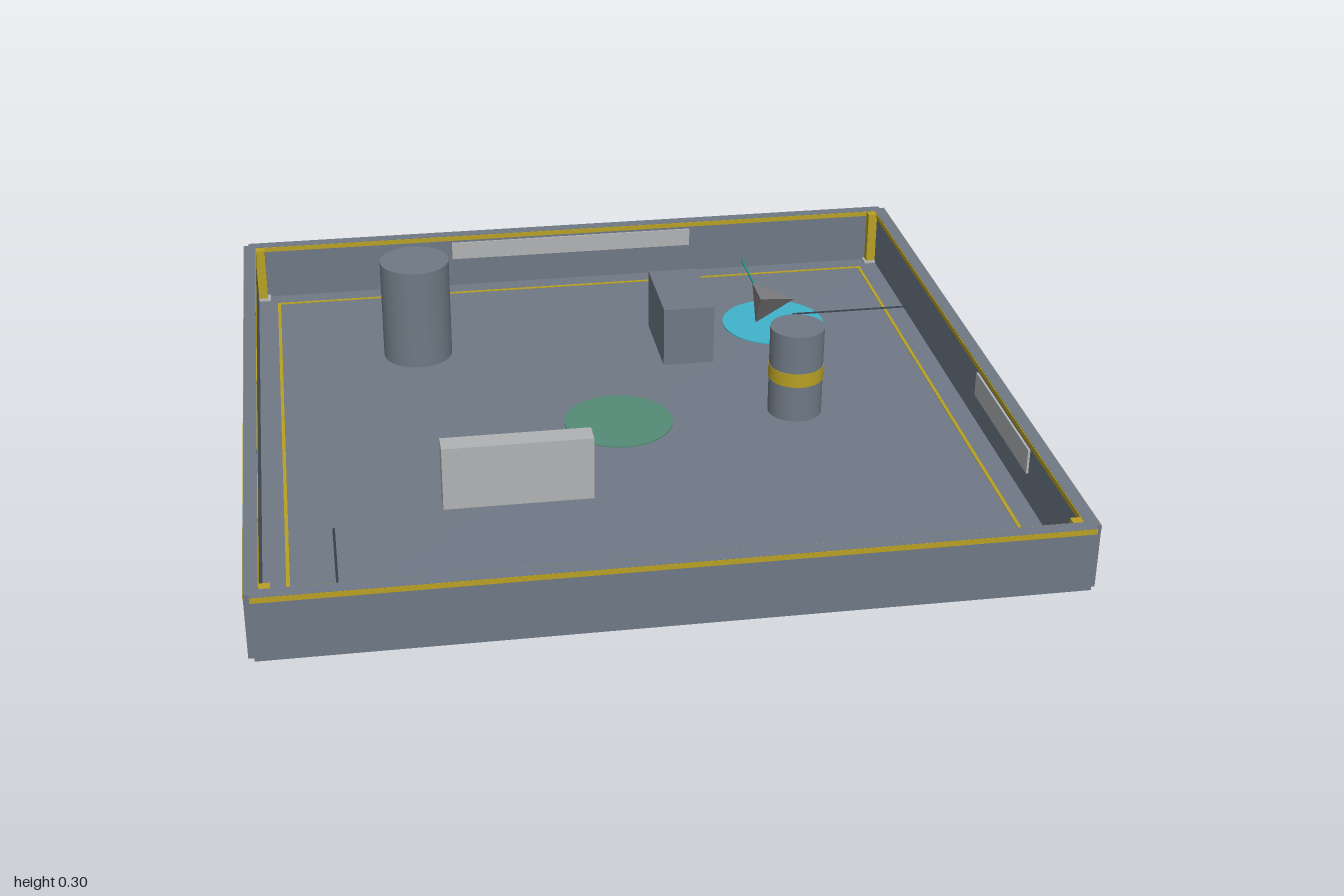
import * as THREE from 'three';

export function createModel() {
  const root = new THREE.Group();
  root.name = 'arena';

  const mat = (name, color) => {
    const m = new THREE.MeshStandardMaterial({ color });
    m.name = name;
    return m;
  };
  const grey = mat('slate grey', 0x6f7985);
  const yellow = mat('safety yellow', 0xb8a024);
  const light = mat('pale grey', 0xb0b2b4);
  const cyan = mat('cyan', 0x3fb3cb);
  const green = mat('soft green', 0x558c76);
  const teal = mat('teal', 0x109a88);
  const dark = mat('dark slate', 0x3c4650);
  const olive = mat('olive', 0x77702c);
  const stone = mat('warm grey', 0x7d7c7e);

  const add = (name, geo, m, x, y, z, parent = root) => {
    const mesh = new THREE.Mesh(geo, m);
    mesh.name = name;
    mesh.position.set(x, y, z);
    parent.add(mesh);
    return mesh;
  };
  // Box given by its minimum and maximum on each axis
  const box = (name, m, x0, x1, y0, y1, z0, z1, parent) =>
    add(name, new THREE.BoxGeometry(x1 - x0, y1 - y0, z1 - z0), m,
      (x0 + x1) / 2, (y0 + y1) / 2, (z0 + z1) / 2, parent);
  // Upright cylinder standing between two heights
  const cyl = (name, m, r, x, z, y0, y1) =>
    add(name, new THREE.CylinderGeometry(r, r, y1 - y0, 40), m, x, (y0 + y1) / 2, z);

  const F = 0.006; // floor surface
  box('floor', grey, -0.985, 0.985, 0, F, -0.985, 0.985);

  // Four walls with a painted stripe near the rim, and a post in each corner
  for (let i = 0; i < 4; i++) {
    const side = new THREE.Group();
    side.name = 'wallSide';
    side.rotation.y = i * Math.PI / 2;
    root.add(side);
    box('wall', grey, -0.985, 0.985, 0, 0.17, 0.965, 0.999, side);
    box('outerRimStripe', yellow, -0.985, 0.985, 0.155, 0.169, 0.998, 1, side);
    box('innerRimStripe', yellow, -0.965, 0.965, 0.155, 0.169, 0.963, 0.966, side);
    box('floorBorder', yellow, -0.909, 0.909, F, F + 0.002, 0.9, 0.909, side);
    box('cornerPost', yellow, 0.938, 0.966, F, 0.168, 0.938, 0.966, side);
    box('postFoot', light, 0.93, 0.966, F, 0.012, 0.93, 0.966, side);
  }

  // Wall panels
  box('backPanel', light, -0.37, 0.37, 0.095, 0.148, -0.966, -0.959);
  box('sidePanel', light, 0.959, 0.966, 0.08, 0.148, 0.13, 0.57);

  // Obstacles
  cyl('tallCylinder', grey, 0.098, -0.51, -0.51, F, 0.298);
  cyl('stripedCylinder', grey, 0.074, 0.49, 0, F, 0.26);
  cyl('cylinderBand', yellow, 0.0755, 0.49, 0, 0.11, 0.15);
  box('crate', grey, 0.18, 0.325, F, 0.18, -0.59, -0.32);
  box('barrier', light, -0.51, -0.123, F, 0.18, 0.34, 0.4);

  // Floor discs
  cyl('goalDisc', green, 0.148, 0, 0, F, F + 0.004);
  cyl('startDisc', cyan, 0.15, 0.55, -0.55, F, F + 0.004);

  // Direction pointer: three-sided cone lying on its side
  const cone = new THREE.ConeGeometry(0.069, 0.115, 3).toNonIndexed();
  cone.computeVertexNormals();
  cone.rotateZ(-Math.PI / 2);
  // Turn one flat side down
  cone.computeBoundingBox();
  const b = cone.boundingBox;
  if (b.max.y - b.min.y > b.max.z - b.min.z) cone.rotateX(Math.PI / 2);
  cone.computeBoundingBox();
  add('pointer', cone, stone, 0.555, F + 0.004 - cone.boundingBox.min.y, -0.55);

  // Sensor rays
  const t = 0.002;
  const ry = 0.03;
  box('forwardRay', dark, 0.61, 0.964, ry - t, ry + t, -0.55 - t, -0.55 + t);
  box('leftRay', teal, 0.54 - t, 0.54 + t, ry - t, ry + t, -0.964, -0.6);
  box('rightRay', teal, 0.54 - t, 0.54 + t, ry - t, ry + t, -0.5, -0.05);

  // Axis marker
  const a = 0.003;
  box('axisX', olive, -0.79, -0.59, F, F + 2 * a, 0.785 - a, 0.785 + a);
  box('axisY', dark, -0.788 - a, -0.788 + a, F, 0.205, 0.785 - a, 0.785 + a);
  box('axisZ', teal, -0.788 - a, -0.788 + a, F, F + 2 * a, 0.585, 0.785);

  return root;
}
